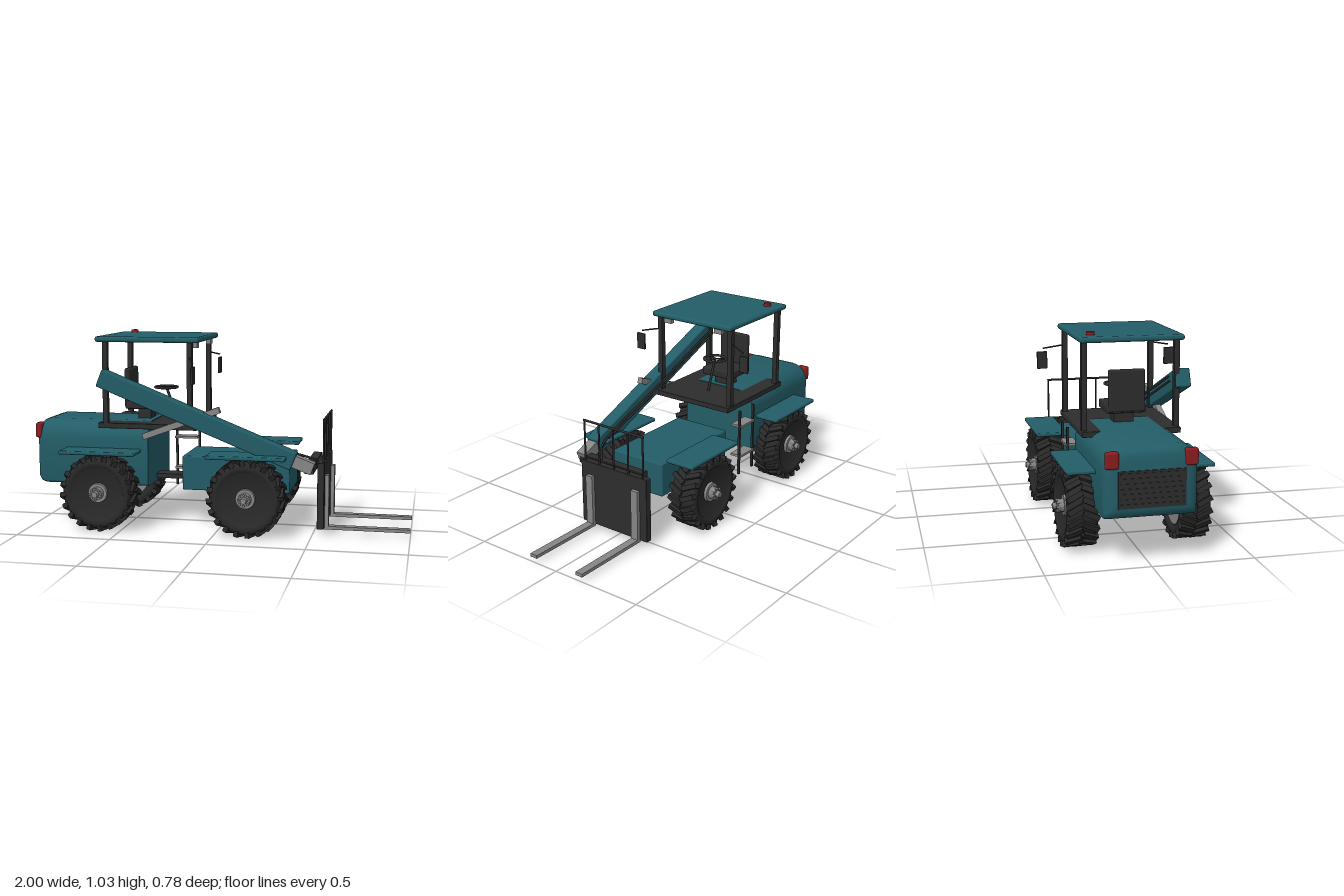
import * as THREE from 'three';
import { mergeGeometries, toCreasedNormals } from 'three/addons/utils/BufferGeometryUtils.js';
import { RoundedBoxGeometry } from 'three/addons/geometries/RoundedBoxGeometry.js';

const mat = (name, color, side = THREE.FrontSide) => {
  const m = new THREE.MeshStandardMaterial({ color, side });
  m.name = name;
  return m;
};

export function createModel() {
  const teal = mat('teal paint', 0x235d67);
  const dark = mat('dark frame', 0x2d2d2d);
  const rubber = mat('tyre rubber', 0x292929);
  const steel = mat('steel grey', 0x868686);
  const red = mat('red lamp', 0x8c1c20);
  const model = new THREE.Group();
  model.name = 'telehandler';

  const add = (name, geo, material, parent = model) => {
    const m = new THREE.Mesh(geo, material);
    m.name = name;
    parent.add(m);
    return m;
  };
  // Box given by its limits on each axis, optionally with rounded edges
  const box = (name, material, x0, x1, y0, y1, z0, z1, r = 0) => {
    const s = [x1 - x0, y1 - y0, z1 - z0];
    const g = r ? new RoundedBoxGeometry(...s, 2, r) : new THREE.BoxGeometry(...s);
    const m = add(name, g, material);
    m.position.set((x0 + x1) / 2, (y0 + y1) / 2, (z0 + z1) / 2);
    return m;
  };
  // Beam between two points in the x-y plane
  const beam = (name, material, a, b, h, z0, z1, r = 0) => {
    const m = box(name, material, 0, Math.hypot(b[0] - a[0], b[1] - a[1]), 0, h, z0, z1, r);
    m.position.set((a[0] + b[0]) / 2, (a[1] + b[1]) / 2, (z0 + z1) / 2);
    m.rotation.z = Math.atan2(b[1] - a[1], b[0] - a[0]);
    return m;
  };
  // Round rod between two points
  const rod = (name, material, a, b, r) => {
    const p = new THREE.Vector3(...a), q = new THREE.Vector3(...b);
    const m = add(name, new THREE.CylinderGeometry(r, r, p.distanceTo(q), 10), material);
    m.position.copy(p).add(q).multiplyScalar(0.5);
    m.quaternion.setFromUnitVectors(new THREE.Vector3(0, 1, 0), q.sub(p).normalize());
    return m;
  };

  // Rear body: rounded cross-section lofted along x, drawn in at the tail
  const section = (x, d) => {
    const w = 0.225 - d, b = 0.228 + d, t = 0.568 - d, pts = [];
    const corner = (cz, cy, r, start) => {
      for (let i = 0; i <= 6; i++) {
        const a = start + (i / 6) * Math.PI / 2;
        pts.push([x, cy + r * Math.sin(a), cz + r * Math.cos(a)]);
      }
    };
    corner(w - 0.095, t - 0.095, 0.095, 0);
    corner(-w + 0.095, t - 0.095, 0.095, Math.PI / 2);
    corner(-w + 0.02, b + 0.02, 0.02, Math.PI);
    corner(w - 0.02, b + 0.02, 0.02, Math.PI * 1.5);
    return pts;
  };
  const rings = [[-0.37, 0], [-0.94, 0], [-0.966, 0.007], [-0.984, 0.024], [-0.992, 0.045]].map(s => section(...s));
  const n = rings[0].length, pos = [];
  for (let k = 0; k < rings.length - 1; k++) {
    for (let i = 0; i < n; i++) {
      const j = (i + 1) % n, a = rings[k][i], b = rings[k][j], c = rings[k + 1][j], d = rings[k + 1][i];
      pos.push(...a, ...c, ...b, ...a, ...d, ...c);
    }
  }
  const first = rings[0], last = rings[rings.length - 1];
  for (let i = 0; i < n; i++) {
    const j = (i + 1) % n;
    pos.push(-0.37, 0.4, 0, ...first[i], ...first[j]);
    pos.push(-0.992, 0.4, 0, ...last[j], ...last[i]);
  }
  // Put every triangle the right way out from the convex body's middle
  const mid = new THREE.Vector3(-0.68, 0.4, 0);
  for (let i = 0; i < pos.length; i += 9) {
    const [a, b, c] = [0, 3, 6].map(o => new THREE.Vector3().fromArray(pos, i + o));
    const nrm = b.clone().sub(a).cross(c.clone().sub(a));
    if (nrm.dot(a.clone().sub(mid)) < 0) {
      b.toArray(pos, i + 6);
      c.toArray(pos, i + 3);
    }
  }
  const bodyGeo = new THREE.BufferGeometry();
  bodyGeo.setAttribute('position', new THREE.Float32BufferAttribute(pos, 3));
  add('rearBody', toCreasedNormals(bodyGeo, 0.6), teal);

  // Tail grille and lamps
  box('rearGrille', dark, -0.997, -0.985, 0.285, 0.46, -0.16, 0.16);
  for (let i = 0; i < 7; i++) box('grilleSlat', dark, -1, -0.99, 0.295 + i * 0.024, 0.306 + i * 0.024, -0.15, 0.15);
  for (const s of [-1, 1]) {
    box('tailLamp', red, -0.997, -0.962, 0.47, 0.55, s * 0.187 - 0.031, s * 0.187 + 0.031, 0.01);
  }

  // Front chassis and hitch
  box('frontChassis', teal, -0.2, 0.373, 0.205, 0.388, -0.167, 0.16, 0.008);
  box('hitch', dark, -0.375, -0.19, 0.242, 0.266, -0.05, 0.05);

  // Wheels: tyre, chevron lugs, inner rim and bolted hub
  const tyreGeo = new THREE.LatheGeometry([[0.128, -0.05], [0.135, -0.07], [0.165, -0.076], [0.184, -0.066], [0.186, 0],
    [0.184, 0.066], [0.165, 0.076], [0.142, 0.072], [0.135, 0.06], [0.06, 0.045], [0.0001, 0.045]]
    .map(p => new THREE.Vector2(...p)), 40).rotateX(Math.PI / 2);
  const lugs = [], count = 20;
  for (let i = 0; i < count; i++) {
    for (const s of [-1, 1]) {
      lugs.push(new THREE.BoxGeometry(0.026, 0.03, 0.082)
        .rotateY(s * 0.45).translate(0, 0.185, s * 0.038)
        .rotateZ((i + (s > 0 ? 0.5 : 0)) / count * Math.PI * 2));
    }
  }
  const lugGeo = mergeGeometries(lugs);
  const disc = (r0, r1, z0, z1, seg = 24) =>
    new THREE.CylinderGeometry(r1, r0, z1 - z0, seg).rotateX(Math.PI / 2).translate(0, 0, (z0 + z1) / 2);
  const hubParts = [disc(0.053, 0.05, 0.04, 0.06), disc(0.034, 0.031, 0.06, 0.09), disc(0.018, 0.015, 0.09, 0.113, 12)];
  for (let i = 0; i < 8; i++) {
    const a = i / 8 * Math.PI * 2;
    hubParts.push(disc(0.007, 0.007, 0.055, 0.098, 6).translate(0.028 * Math.cos(a), 0.028 * Math.sin(a), 0));
  }
  const hubGeo = mergeGeometries(hubParts);
  const rimGeo = disc(0.132, 0.132, -0.064, -0.04, 32);
  for (const x of [-0.615, 0.17]) {
    rod('axle', dark, [x, 0.205, -0.22], [x, 0.205, 0.22], 0.025);
    for (const s of [-1, 1]) {
      const wheel = new THREE.Group();
      wheel.name = x < 0 ? 'rearWheel' : 'frontWheel';
      wheel.position.set(x, 0.205, s * 0.277);
      if (s < 0) wheel.rotation.y = Math.PI;
      add('tyre', tyreGeo, rubber, wheel);
      add('treadLugs', lugGeo, rubber, wheel);
      add('innerRim', rimGeo, steel, wheel);
      add('hub', hubGeo, steel, wheel);
      model.add(wheel);
      const z0 = s > 0 ? 0.195 : -0.36;
      box('fender', teal, x - 0.205, x + 0.205, 0.407, 0.427, z0, z0 + 0.165, 0.007);
    }
  }

  // Open cab: floor, posts, roof, lamps and mirrors
  box('cabFloor', dark, -0.635, -0.1, 0.536, 0.565, -0.245, 0.245, 0.004);
  box('cabRoof', teal, -0.645, -0.09, 0.99, 1.019, -0.257, 0.257, 0.012);
  for (const s of [-1, 1]) {
    const z = s * 0.229;
    for (const x of [-0.594, -0.14]) box('cabPost', dark, x - 0.0135, x + 0.0135, 0.56, 0.995, z - 0.0135, z + 0.0135);
    box('workLamp', steel, -0.135, -0.11, 0.961, 0.992, s * 0.165 - 0.024, s * 0.165 + 0.024);
    rod('mirrorArm', dark, [-0.14, 0.913, s * 0.235], [-0.1, 0.892, s * 0.335], 0.004);
    box('mirror', dark, -0.106, -0.093, 0.786, 0.876, s * 0.34 - 0.027, s * 0.34 + 0.027, 0.004);
  }
  const beacon = add('beacon', new THREE.CylinderGeometry(0.019, 0.021, 0.016, 20), red);
  beacon.position.set(-0.553, 1.026, -0.187);

  // Seat and steering
  box('seatBase', dark, -0.47, -0.4, 0.56, 0.63, -0.05, 0.05);
  box('seatCushion', dark, -0.53, -0.34, 0.622, 0.666, -0.098, 0.098, 0.01);
  box('seatBack', dark, -0.535, -0.507, 0.63, 0.84, -0.092, 0.092, 0.01);
  rod('steeringColumn', dark, [-0.262, 0.56, 0], [-0.325, 0.735, 0], 0.007);
  const wheelRing = add('steeringWheel', new THREE.TorusGeometry(0.06, 0.007, 8, 28).rotateX(Math.PI / 2), dark);
  wheelRing.position.set(-0.325, 0.735, 0);
  for (let i = 0; i < 3; i++) {
    const a = i * Math.PI * 2 / 3;
    rod('steeringSpoke', dark, [-0.325, 0.735, 0], [-0.325 + 0.06 * Math.cos(a), 0.735, 0.06 * Math.sin(a)], 0.005);
  }

  // Access ladder
  for (const x of [-0.33, -0.2]) box('ladderRail', dark, x - 0.006, x + 0.006, 0.15, 0.522, -0.261, -0.249);
  for (const y of [0.255, 0.43]) {
    box('ladderStep', steel, -0.33, -0.2, y - 0.006, y + 0.006, -0.267, -0.2);
  }

  // Boom with lift cylinder, extension and hoses
  beam('boom', teal, [-0.614, 0.806], [0.41, 0.398], 0.094, 0.222, 0.296, 0.008);
  beam('boomExtension', steel, [0.36, 0.418], [0.507, 0.362], 0.062, 0.228, 0.284);
  beam('liftCylinder', steel, [-0.385, 0.5], [0.022, 0.65], 0.032, 0.24, 0.27);
  for (const [dy, dz] of [[0, 0], [-0.022, 0.006]]) {
    const path = new THREE.CatmullRomCurve3([[-0.58, 0.81, 0.2], [-0.1, 0.62, 0.2], [0.36, 0.44, 0.205], [0.43, 0.42, 0.185],
      [0.51, 0.385, 0.12]].map(p => new THREE.Vector3(p[0], p[1] + dy, p[2] + dz)), false, 'centripetal');
    add('hose', new THREE.TubeGeometry(path, 32, 0.006, 8), dark);
  }

  // Fork carriage, load guard and forks
  box('carriageCrossbar', dark, 0.465, 0.51, 0.335, 0.382, -0.145, 0.27);
  box('carriageLink', dark, 0.5, 0.53, 0.335, 0.375, -0.1, 0.1);
  box('carriagePlate', dark, 0.524, 0.56, 0.036, 0.384, -0.214, 0.214, 0.004);
  for (let i = -2; i <= 2; i++) rod('guardPost', dark, [0.553, 0.38, i * 0.0945], [0.553, 0.605, i * 0.0945], 0.005);
  rod('guardRail', dark, [0.553, 0.605, -0.194], [0.553, 0.605, 0.194], 0.006);
  for (const z of [-0.149, 0.149]) {
    box('forkShank', steel, 0.558, 0.58, 0.028, 0.313, z - 0.021, z + 0.021);
    box('forkTine', steel, 0.56, 1, 0.028, 0.045, z - 0.021, z + 0.021);
  }
  return model;
}
